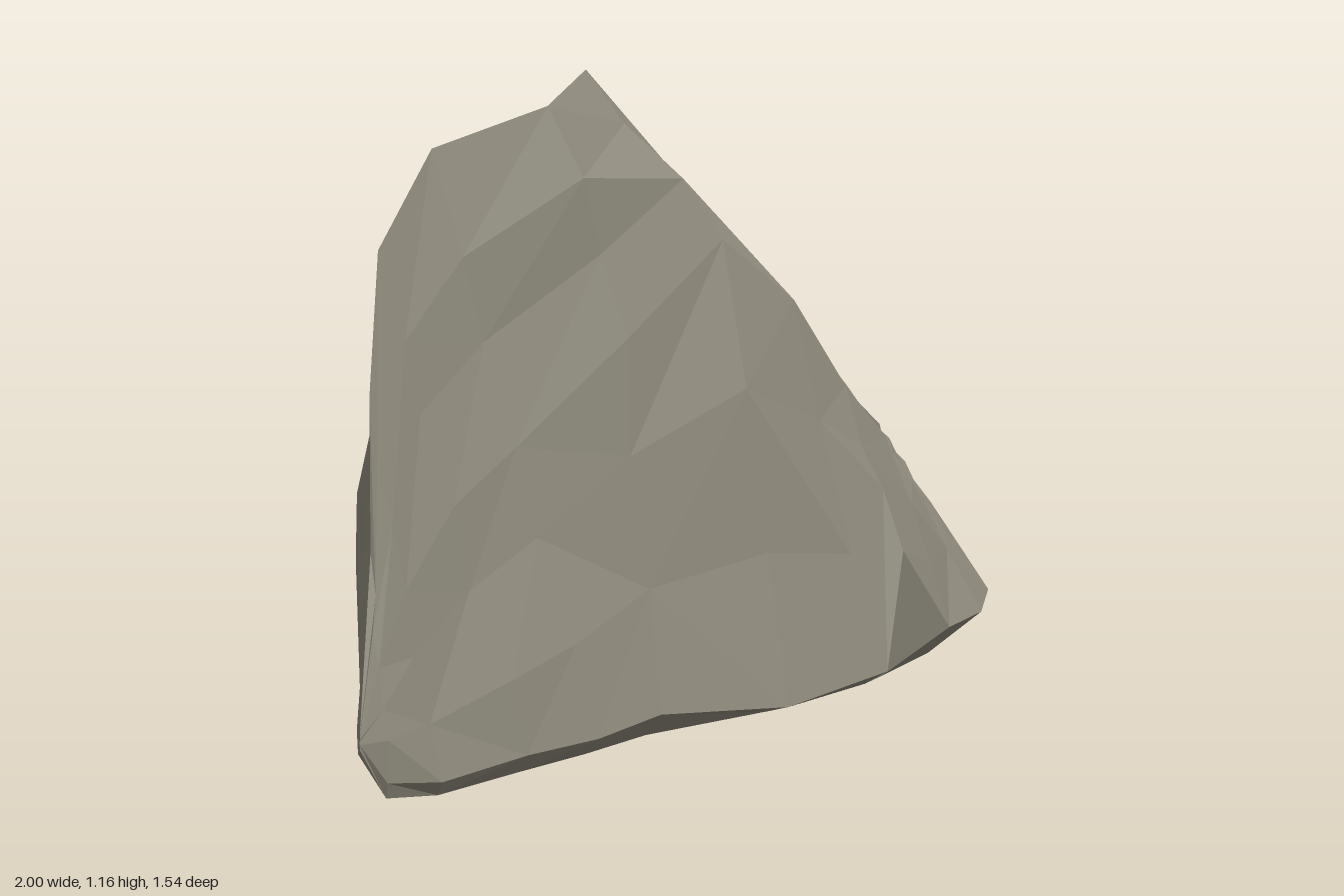
import * as THREE from 'three';

// Lines running from the left tip to the right tip of the boulder (16 stations each).
// Foot of the front wall
const frontFoot = [
  [-1, 0.15, 0.765], [-0.94, 0.07, 0.745], [-0.83, 0.05, 0.73], [-0.65, 0.06, 0.7],
  [-0.5, 0.06, 0.68], [-0.35, 0.07, 0.64], [-0.08, 0.04, 0.63], [0.18, 0.05, 0.56],
  [0.26, 0.25, 0.49], [0.43, 0.06, 0.4], [0.59, 0.04, 0.28], [0.7, 0.04, 0.15],
  [0.79, 0.07, -0.09], [0.85, 0.12, -0.3], [0.97, 0.13, -0.53], [1, 0.11, -0.64],
];
// Crest: up the left edge, over the peak and down the long right slope
const crest = [
  [-1, 0.17, 0.765], [-0.94, 0.45, 0.695], [-0.915, 0.7, 0.65], [-0.87, 0.93, 0.6],
  [-0.72, 1.075, 0.51], [-0.48, 1.125, 0.48], [-0.34, 1.165, 0.37], [-0.16, 1.055, 0.17],
  [0, 0.92, 0], [0.1, 0.82, -0.1], [0.24, 0.7, -0.16], [0.41, 0.62, -0.34],
  [0.65, 0.47, -0.48], [0.82, 0.35, -0.6], [0.97, 0.23, -0.72], [1, 0.18, -0.67],
];
// Foot of the left wall and of the back slope
const backFoot = [
  [-0.99, 0.14, 0.75], [-0.86, 0.08, 0.48], [-0.72, 0.07, 0.22], [-0.57, 0.08, -0.06],
  [-0.43, 0.1, -0.31], [-0.36, 0.09, -0.39], [-0.27, 0.08, -0.445], [-0.06, 0.07, -0.53],
  [0.07, 0.06, -0.57], [0.2, 0.06, -0.62], [0.35, 0.06, -0.65], [0.5, 0.06, -0.69],
  [0.64, 0.07, -0.73], [0.74, 0.09, -0.72], [0.87, 0.11, -0.77], [0.97, 0.12, -0.73],
];
// Fold where the front wall turns into the right wall, by station
const fold = { 5: [-0.36, 0.72, 0.545], 6: [-0.12, 0.86, 0.47], 7: [0.05, 0.73, 0.44],
  8: [0.19, 0.55, 0.4], 9: [0.32, 0.43, 0.34], 10: [0.43, 0.4, 0.11] };
// Height of the underside at each station
const baseY = [0.14, 0.04, 0.02, 0.02, 0.02, 0.02, 0.02, 0.015,
  0, 0, 0.005, 0.01, 0.02, 0.03, 0.08, 0.09];

let seed = 7;
function rough(amount) {
  seed = (seed * 16807) % 2147483647;
  return (seed / 2147483647 - 0.5) * 2 * amount;
}

const vec = (p) => new THREE.Vector3(...p);

// Closed cross-section: underside, front wall, crest, back slope, underside
function section(i) {
  const F = vec(frontFoot[i]), R = vec(crest[i]), B = vec(backFoot[i]);
  const M = fold[i] ? vec(fold[i]) : F.clone().lerp(R, 0.5);
  const span = R.distanceTo(B);
  const amount = Math.min(0.014, span * 0.03);
  const jitter = (v) => v.add(new THREE.Vector3(rough(amount), rough(amount), rough(amount)));
  const base = (t, y) => F.clone().lerp(B, t).setY(y);
  const ring = [base(i > 10 ? 0.1 : 0.05, baseY[i]), F];
  for (const t of [0.33, 0.67]) ring.push(jitter(F.clone().lerp(M, t)));
  ring.push(M);
  for (const t of [0.33, 0.67]) ring.push(jitter(M.clone().lerp(R, t)));
  ring.push(R);
  for (let k = 1; k < 6; k++) {
    const p = R.clone().lerp(B, k / 6);
    p.y += Math.sin((k / 6) * Math.PI) * span * 0.05; // swell of the slope
    ring.push(jitter(p));
  }
  ring.push(B, base(0.97, Math.max(baseY[i], 0.02)));
  return ring;
}

function boulderGeometry() {
  const rings = crest.map((_, i) => section(i));
  const n = rings[0].length;
  const last = rings.length - 1;
  const index = [];
  // Skin between neighbouring sections, with varied diagonals
  for (let i = 0; i < last; i++) {
    for (let j = 0; j < n; j++) {
      const k = (j + 1) % n;
      const a = i * n + j, b = a + n, c = (i + 1) * n + k, d = i * n + k;
      if (rough(1) > 0) index.push(a, b, c, a, c, d);
      else index.push(a, b, d, b, c, d);
    }
  }
  // Caps at both tips
  for (let j = 1; j < n - 1; j++) {
    index.push(0, j, j + 1, last * n, last * n + j + 1, last * n + j);
  }
  const indexed = new THREE.BufferGeometry().setFromPoints(rings.flat());
  indexed.setIndex(index);
  const geometry = indexed.toNonIndexed();
  geometry.computeVertexNormals();
  return geometry;
}

export function createModel() {
  const stone = new THREE.MeshStandardMaterial({ color: 0x8c887a, flatShading: true });
  stone.name = 'stone';
  const boulder = new THREE.Mesh(boulderGeometry(), stone);
  boulder.name = 'boulder';
  const model = new THREE.Group();
  model.name = 'rock';
  model.add(boulder);
  return model;
}
